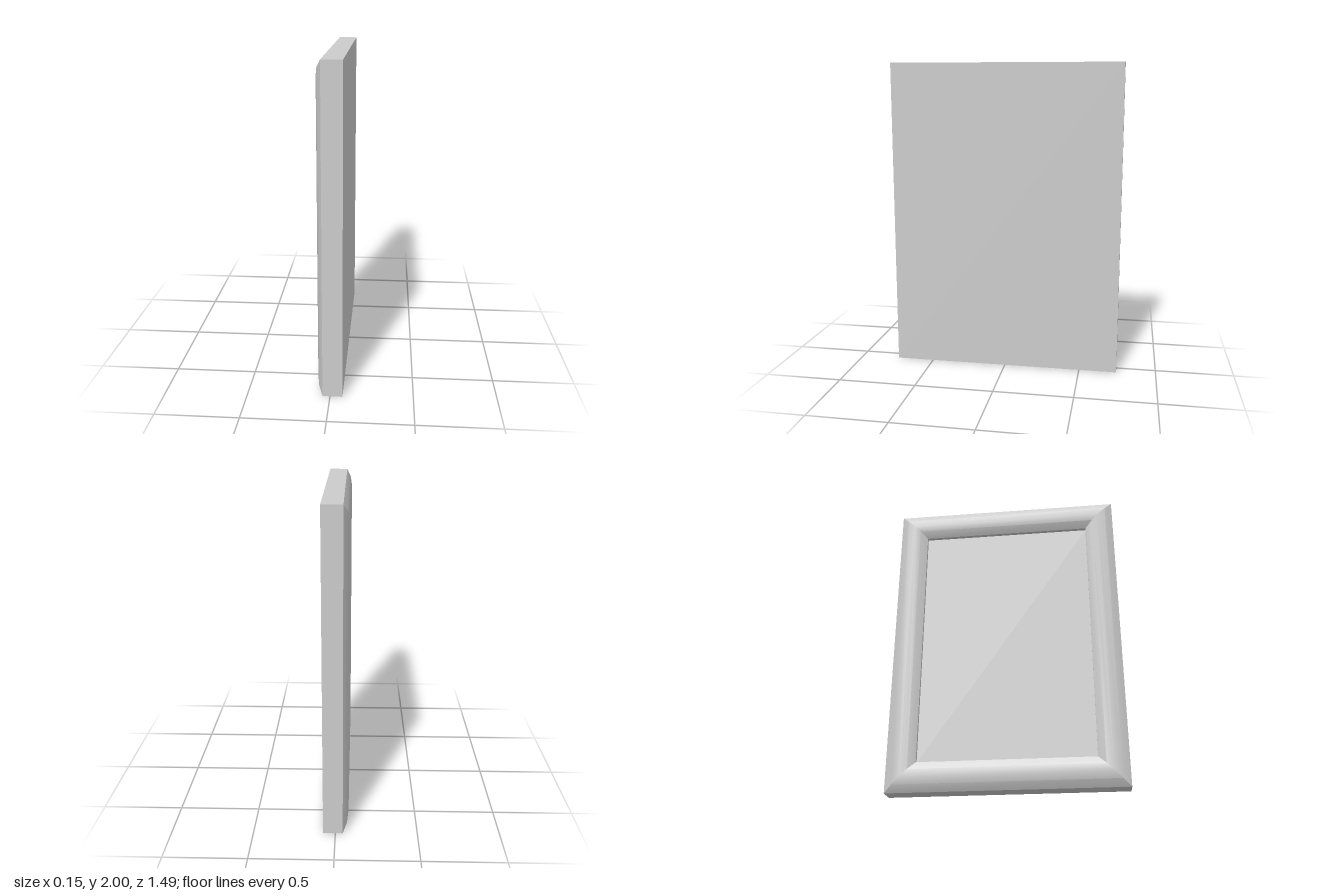
import * as THREE from 'three';
import { toCreasedNormals } from 'three/addons/utils/BufferGeometryUtils.js';

const HALF_WIDTH = 0.745, HEIGHT = 2;
const BACK_X = 0.075, PICTURE_X = -0.022, OPENING = 0.188;

// moulding cross-section: [inset from the outer edge, x]
const PROFILE = [
  [0, BACK_X], [0, -0.045], [0.047, -0.07], [0.098, -0.079],
  [0.14, -0.071], [OPENING, -0.045], [OPENING, PICTURE_X],
];

// four mitred corners of the rectangle at one profile point
function corners([inset, x]) {
  const z = HALF_WIDTH - inset, top = HEIGHT - inset;
  return [[x, top, z], [x, top, -z], [x, inset, -z], [x, inset, z]];
}

// sweep the profile round the rectangle
function frameGeometry() {
  const positions = [];
  for (let i = 0; i < PROFILE.length - 1; i++) {
    const outer = corners(PROFILE[i]), inner = corners(PROFILE[i + 1]);
    for (let k = 0; k < 4; k++) {
      const n = (k + 1) % 4;
      positions.push(...outer[k], ...outer[n], ...inner[n]);
      positions.push(...outer[k], ...inner[n], ...inner[k]);
    }
  }
  const geometry = new THREE.BufferGeometry();
  geometry.setAttribute('position', new THREE.Float32BufferAttribute(positions, 3));
  return toCreasedNormals(geometry, 0.4);
}

export function createModel() {
  const group = new THREE.Group();
  const material = new THREE.MeshStandardMaterial({ color: 0xcccccc });

  const add = (name, geometry) => {
    const mesh = new THREE.Mesh(geometry, material);
    mesh.name = name;
    group.add(mesh);
    return mesh;
  };

  // flat panel facing along x, reduced by an inset on every side
  const addPanel = (name, inset, x, facing) => {
    const panel = add(name, new THREE.PlaneGeometry(2 * (HALF_WIDTH - inset), HEIGHT - 2 * inset));
    panel.rotation.y = facing * Math.PI / 2;
    panel.position.set(x, HEIGHT / 2, 0);
  };

  add('frame', frameGeometry());
  addPanel('picture', OPENING, PICTURE_X, -1);
  addPanel('backPanel', 0, BACK_X, 1);

  return group;
}
